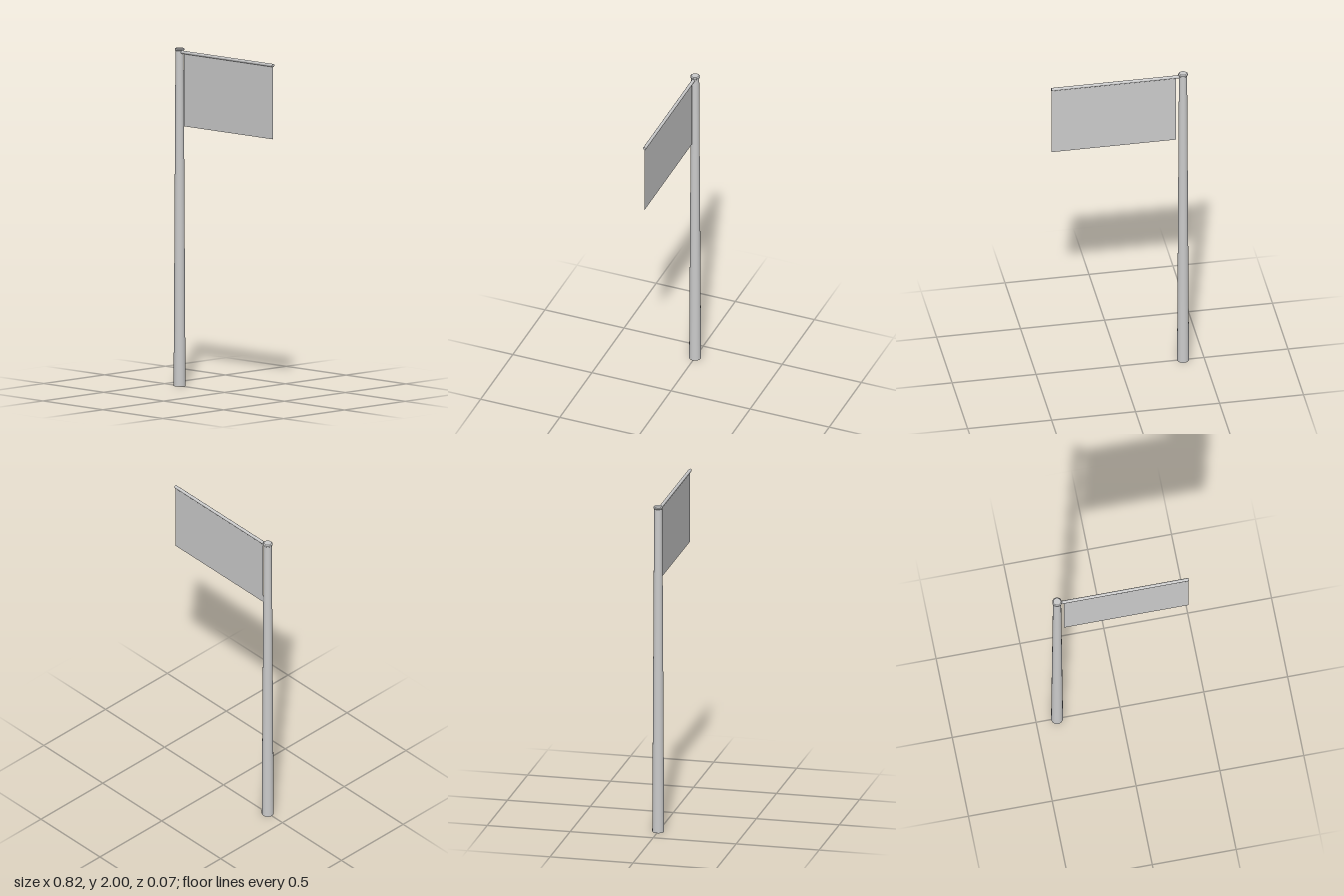
import * as THREE from 'three';

export function createModel() {
  const model = new THREE.Group();
  const grey = new THREE.MeshStandardMaterial({ color: 0xcccccc });
  const cloth = new THREE.MeshStandardMaterial({ color: 0xcccccc, side: THREE.DoubleSide });
  const poleX = -0.375, barY = 1.977, barZ = 0.002;

  const add = (name, geometry, material, x, y, z) => {
    const mesh = new THREE.Mesh(geometry, material);
    mesh.name = name;
    mesh.position.set(x, y, z);
    model.add(mesh);
    return mesh;
  };

  // Tapered upright standing on the ground
  add('pole', new THREE.CylinderGeometry(0.024, 0.035, 1.985, 32), grey, poleX, 0.9925, 0);

  // Slightly wider cap with a bevelled top edge; repeated points keep its edges sharp
  const capProfile = [
    [0, 1.984], [0.024, 1.984], [0.024, 1.984], [0.028, 1.988], [0.028, 1.988],
    [0.028, 1.995], [0.028, 1.995], [0.022, 2], [0.022, 2], [0, 2],
  ].map(([r, y]) => new THREE.Vector2(r, y));
  add('poleCap', new THREE.LatheGeometry(capProfile, 32), grey, poleX, 0, 0);

  // Horizontal bar running from inside the pole to the free end
  const barLength = 0.409 - poleX;
  add('crossbar', new THREE.CylinderGeometry(0.0095, 0.0095, barLength, 16), grey,
    poleX + barLength / 2, barY, barZ).rotation.z = Math.PI / 2;

  // Flat banner hanging from the bar
  const left = -0.334, right = 0.407, bottom = 1.54;
  add('banner', new THREE.PlaneGeometry(right - left, barY - bottom), cloth,
    (left + right) / 2, (barY + bottom) / 2, barZ);

  return model;
}
